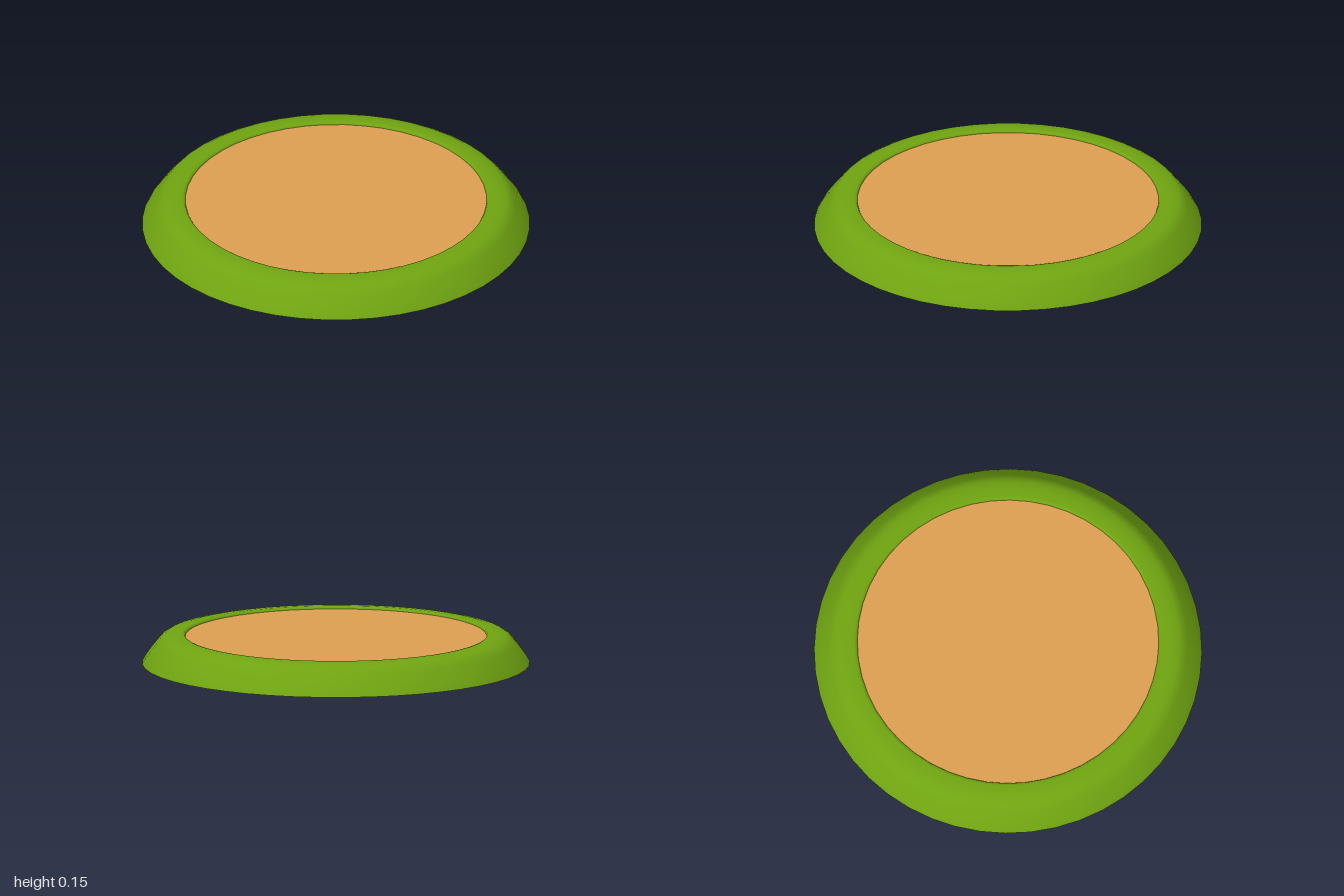
import * as THREE from 'three';

const SIDES = 48;

export function createModel() {
  const model = new THREE.Group();
  model.name = 'sandIsland';

  const grass = new THREE.MeshStandardMaterial({ color: 0x6fa411 });
  grass.name = 'grass green';
  const sand = new THREE.MeshStandardMaterial({ color: 0xdd9f52 });
  sand.name = 'sand';

  const add = (name, geometry, material) => {
    const mesh = new THREE.Mesh(geometry, material);
    mesh.name = name;
    model.add(mesh);
    return mesh;
  };

  // Rounded grass rim: sloping bank, soft shoulder, flat crest and a small inner lip
  const profile = [
    [1, 0], [0.985, 0.028], [0.955, 0.07], [0.925, 0.108], [0.905, 0.13], [0.88, 0.144],
    [0.84, 0.152], [0.795, 0.154], [0.782, 0.151], [0.777, 0.142], [0.776, 0.13],
  ].map(([r, y]) => new THREE.Vector2(r, y));
  add('grassRim', new THREE.LatheGeometry(profile, SIDES), grass);

  // Sand floor set just below the crest
  const floor = add('sandFloor', new THREE.CircleGeometry(0.78, SIDES), sand);
  floor.rotation.x = -Math.PI / 2;
  floor.position.y = 0.14;

  // Flat underside
  const underside = add('underside', new THREE.CircleGeometry(1, SIDES), sand);
  underside.rotation.x = Math.PI / 2;

  return model;
}
